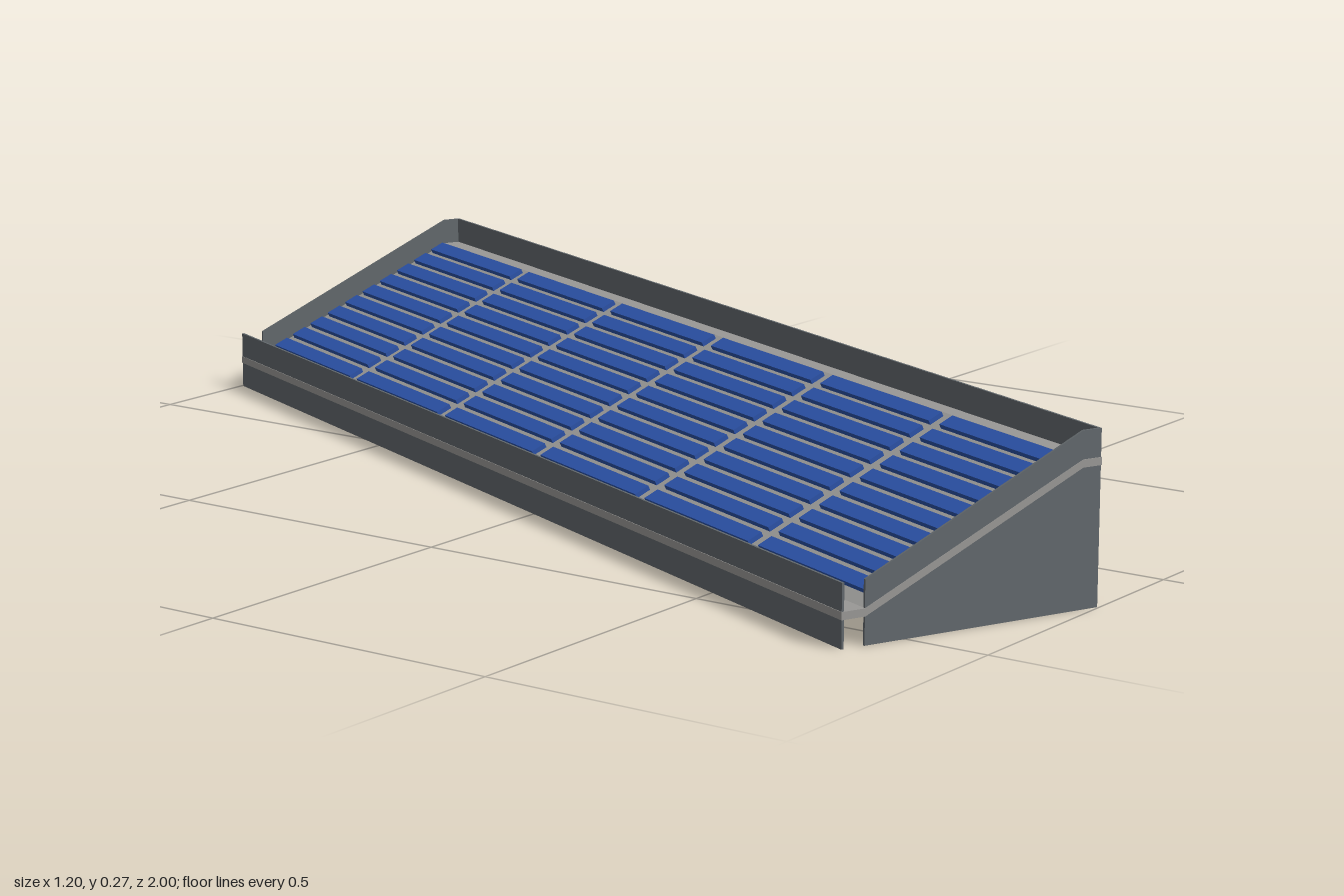
import * as THREE from 'three';

// Local frame: x runs across the roof (low to high), z along its length.
const W = 0.222, L = 0.991, BAY = (2 * L) / 6;
const LOW = -0.183, HIGH = 0.19;      // ends of the sloping part
const Y0 = 0.055, Y1 = 0.225;         // deck top at those ends
const SLOPE = Math.atan2(Y1 - Y0, HIGH - LOW);
const deckY = x => Y0 + (x - LOW) * (Y1 - Y0) / (HIGH - LOW);

const mat = (name, color) => {
  const m = new THREE.MeshStandardMaterial({ color });
  m.name = name;
  return m;
};

export function createModel() {
  const cladding = mat('dark grey cladding', 0x62686c);
  const deckGrey = mat('light grey deck', 0x999896);
  const blue = mat('solar blue', 0x2b52a8);

  const model = new THREE.Group();
  model.name = 'solarRoof';
  const roof = new THREE.Group();
  roof.name = 'roof';
  roof.rotation.y = -0.4105;
  model.add(roof);

  const add = (name, geometry, material, x = 0, y = 0, z = 0) => {
    const m = new THREE.Mesh(geometry, material);
    m.name = name;
    m.position.set(x, y, z);
    roof.add(m);
    return m;
  };
  const box = (name, w, h, d, material, x, y, z) =>
    add(name, new THREE.BoxGeometry(w, h, d), material, x, y, z);
  // Profile in the x-y plane, extruded along z and centred on it
  const prism = (points, depth) => {
    const shape = new THREE.Shape(points.map(p => new THREE.Vector2(...p)));
    return new THREE.ExtrudeGeometry(shape, { depth, bevelEnabled: false }).translate(0, 0, -depth / 2);
  };

  // Folded deck: flat eave, slope, flat ridge
  const t = 0.012, E = W + 0.001;
  add('deck', prism([
    [-E, Y0 - t], [LOW, Y0 - t], [HIGH, Y1 - t], [E, Y1 - t],
    [E, Y1], [HIGH, Y1], [LOW, Y0], [-E, Y0],
  ], 2 * L + 0.002), deckGrey);

  // Low wall and high parapet along the two long sides
  const T = 0.004;
  box('lowWall', T, 0.097, 2 * L, cladding, -W + T / 2, 0.0485, 0);
  box('highParapet', T, 0.052, 2 * L, cladding, W - T / 2, 0.242, 0);

  // End walls, stopping short of the low wall
  for (const s of [-1, 1]) {
    add(s > 0 ? 'frontEndWall' : 'backEndWall', prism([
      [LOW, 0], [W, 0], [W, 0.268], [HIGH, 0.268], [LOW, 0.097],
    ], T), cladding, 0, 0, s * (L - T / 2));
  }

  // Solar strips: six bays of ten
  const strip = new THREE.BoxGeometry(0.026, 0.008, BAY - 0.028);
  for (let bay = 0; bay < 6; bay++) {
    for (let i = 0; i < 10; i++) {
      const x = -0.15 + i * 0.0355;
      const m = add('solarStrip', strip, blue, x, deckY(x) + 0.004, -L + (bay + 0.5) * BAY);
      m.rotation.z = SLOPE;
    }
  }

  // Posts under the high edge and under the middle of the deck
  for (let i = 0; i < 6; i++) {
    const z = -L + i * BAY + (i === 0 ? 0.006 : 0);
    box('highPost', 0.006, 0.214, 0.006, cladding, W - 0.005, 0.107, z);
    if (i > 0) {
      const h = deckY(-0.06) - t;
      box('middlePost', 0.005, h, 0.005, cladding, -0.06, h / 2, z);
    }
  }

  // Rails along the open high side
  for (const y of [0.095, 0.189]) box('rail', 0.005, 0.006, 2 * L, cladding, W - 0.005, y, 0);

  return model;
}
